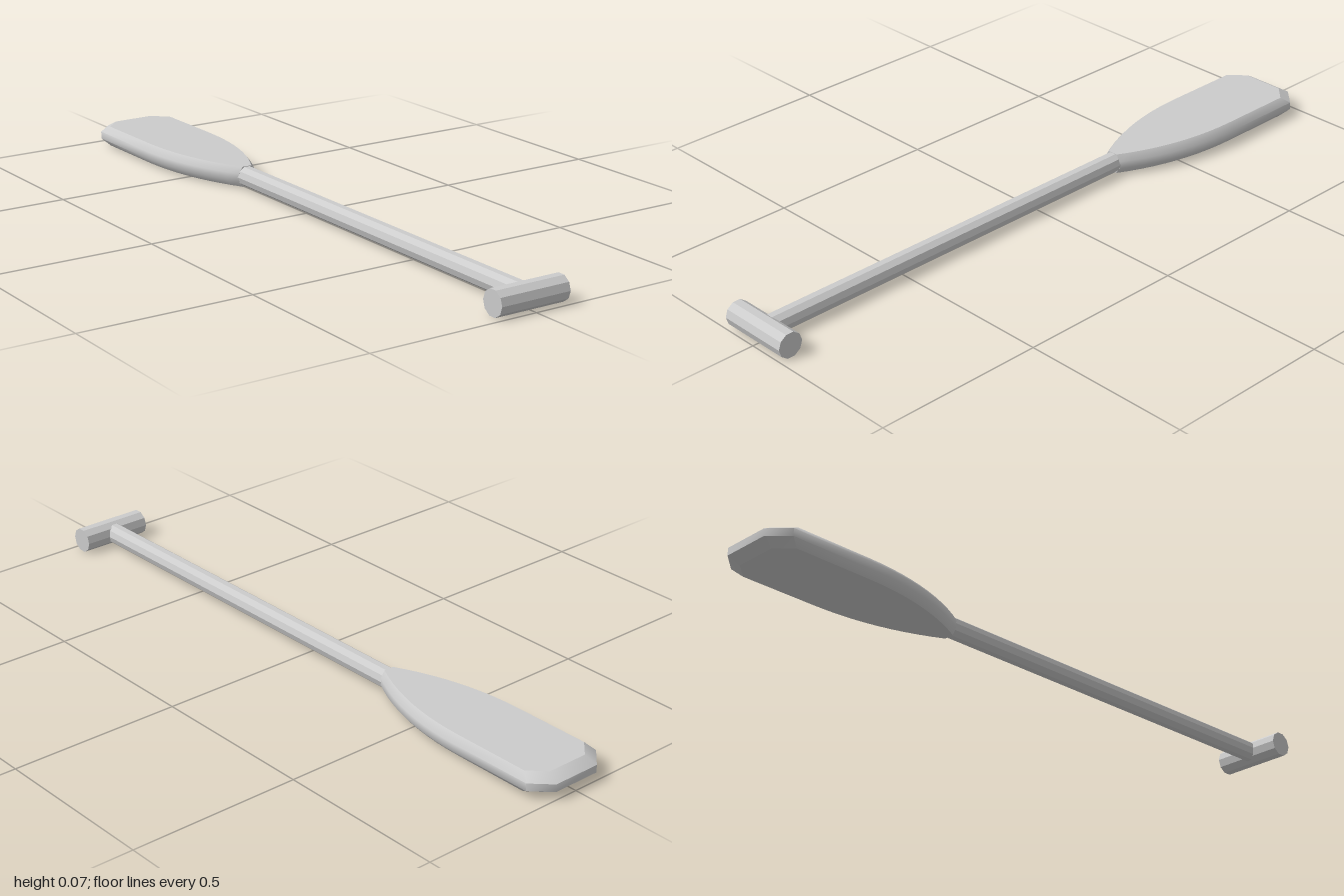
import * as THREE from 'three';
import { toCreasedNormals } from 'three/addons/utils/BufferGeometryUtils.js';

const MID = 0.0355; // height of the paddle's centre line
const material = new THREE.MeshStandardMaterial({ color: 0xcccccc });
const faceted = new THREE.MeshStandardMaterial({ color: 0xcccccc, flatShading: true });

function addMesh(parent, name, geometry, mat) {
  const mesh = new THREE.Mesh(geometry, mat);
  mesh.name = name;
  parent.add(mesh);
  return mesh;
}

// Closed blade outline as [x, z]: +x side from neck to tip, then mirrored back
function bladeOutline(neck, width, shoulderZ, tipX, tipZ) {
  const curve = new THREE.QuadraticBezierCurve(
    new THREE.Vector2(neck, -0.307),
    new THREE.Vector2(width, -0.48),
    new THREE.Vector2(width, -0.69)
  );
  const half = curve.getPoints(10).map((p) => [p.x, p.y]);
  half.push([width, shoulderZ], [tipX, tipZ]);
  return [...half, ...half.map(([x, z]) => [-x, z]).reverse()];
}

// Skin between stacked rings, listed from bottom to top
function rimGeometry(rings) {
  const n = rings[0].length;
  const index = [];
  for (let r = 0; r < rings.length - 1; r++) {
    for (let i = 0; i < n; i++) {
      const j = (i + 1) % n;
      const a = r * n + i, b = r * n + j, c = a + n, d = b + n;
      index.push(a, b, d, a, d, c);
    }
  }
  const geometry = new THREE.BufferGeometry();
  geometry.setAttribute('position', new THREE.Float32BufferAttribute(rings.flat(2), 3));
  geometry.setIndex(index);
  return toCreasedNormals(geometry, 0.95);
}

// Flat face closing a ring
function capGeometry(ring, up) {
  const index = [];
  for (let i = 1; i < ring.length - 1; i++) {
    index.push(0, up ? i : i + 1, up ? i + 1 : i);
  }
  const geometry = new THREE.BufferGeometry();
  geometry.setAttribute('position', new THREE.Float32BufferAttribute(ring.flat(), 3));
  geometry.setIndex(index);
  geometry.computeVertexNormals();
  return geometry;
}

export function createModel() {
  const paddle = new THREE.Group();
  paddle.name = 'paddle';

  // Cross grip
  const grip = new THREE.CylinderGeometry(0.037, 0.037, 0.216, 10);
  grip.rotateZ(Math.PI / 2);
  addMesh(paddle, 'grip', grip, faceted).position.set(0, MID, 0.963);

  // Long shaft running back into the blade's neck
  const shaft = new THREE.CylinderGeometry(0.03, 0.03, 1.265, 10);
  shaft.rotateY(Math.PI / 2).rotateX(Math.PI / 2);
  addMesh(paddle, 'shaft', shaft, faceted).position.set(0, MID, 0.315);

  // Blade: wide outline around the middle, narrower bevelled faces above and below
  const blade = new THREE.Group();
  blade.name = 'blade';
  const outer = bladeOutline(0.028, 0.126, -0.948, 0.073, -1);
  const inner = bladeOutline(0.015, 0.108, -0.922, 0.063, -0.967);
  const ring = (outline, y) => outline.map(([x, z]) => [x, MID + y, z]);
  const rings = [ring(inner, -0.03), ring(outer, -0.011), ring(outer, 0.011), ring(inner, 0.03)];
  addMesh(blade, 'bladeRim', rimGeometry(rings), material);
  addMesh(blade, 'bladeUnderside', capGeometry(rings[0], false), material);
  addMesh(blade, 'bladeTop', capGeometry(rings[3], true), material);
  paddle.add(blade);

  return paddle;
}
